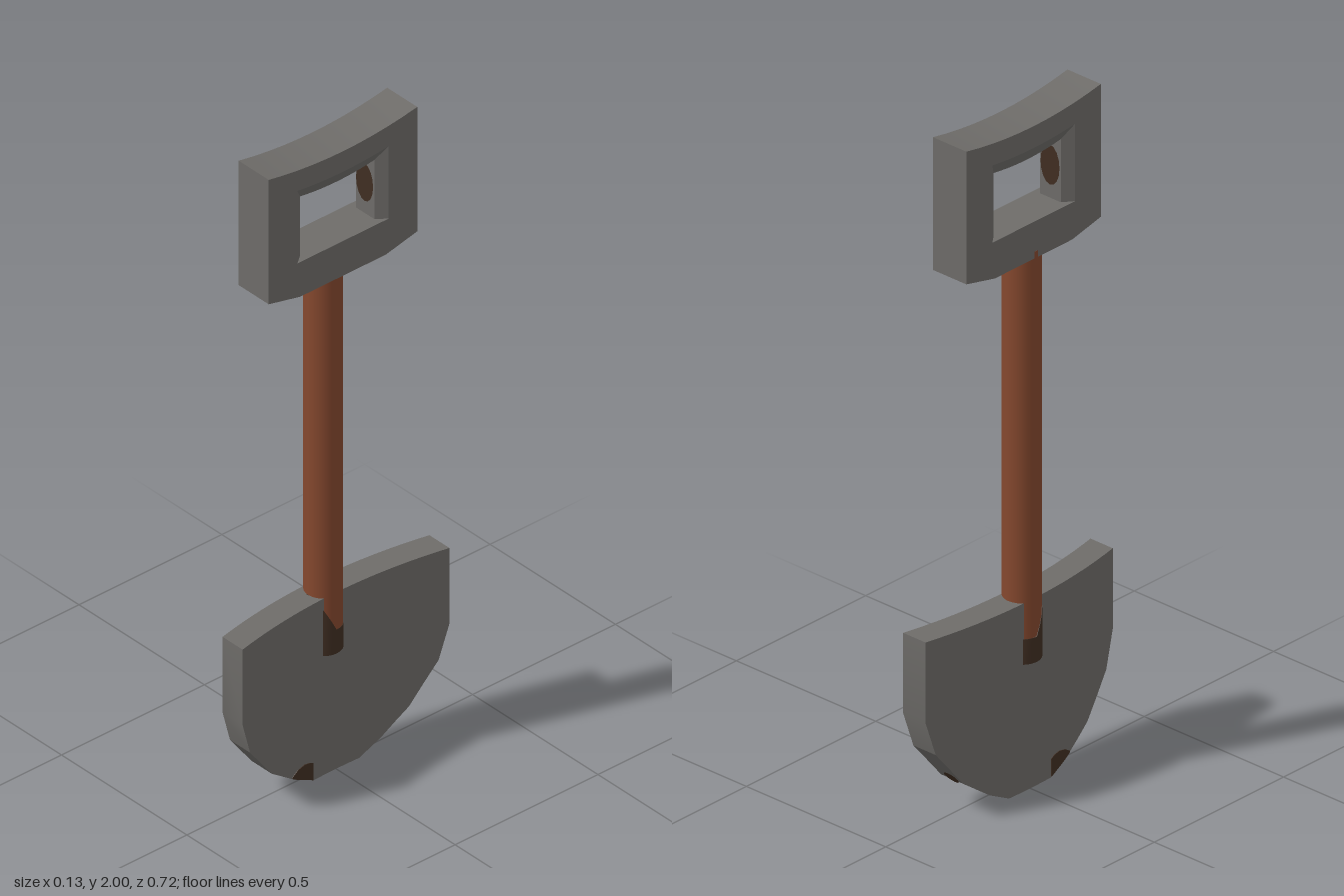
import * as THREE from 'three';
import { toCreasedNormals } from 'three/addons/utils/BufferGeometryUtils.js';

const mat = (name, color) => Object.assign(new THREE.MeshStandardMaterial({ color }), { name });

// Skin a list of equal-length closed loops; either join the last loop to the first or cap the ends
function skin(loops, closed) {
  const n = loops[0].length, m = loops.length, index = [];
  for (let i = 0; i < (closed ? m : m - 1); i++) {
    for (let j = 0; j < n; j++) {
      const i2 = (i + 1) % m, j2 = (j + 1) % n;
      const a = i * n + j, b = i2 * n + j, c = i2 * n + j2, d = i * n + j2;
      index.push(a, b, c, a, c, d);
    }
  }
  if (!closed) {
    const e = (m - 1) * n;
    index.push(0, 1, 2, 0, 2, 3, e, e + 2, e + 1, e, e + 3, e + 2);
  }
  const g = new THREE.BufferGeometry();
  g.setAttribute('position', new THREE.Float32BufferAttribute(loops.flat(2), 3));
  g.setIndex(index);
  return toCreasedNormals(g, 0.3);
}

// Lower outline of the blade: half width and height
const OUTLINE = [[0, 0], [0.08, 0], [0.15, 0.035], [0.24, 0.1], [0.33, 0.215], [0.362, 0.32]];
function bottomAt(z) {
  const w = Math.abs(z);
  for (let k = 1; k < OUTLINE.length; k++) {
    const [w0, y0] = OUTLINE[k - 1], [w1, y1] = OUTLINE[k];
    if (w <= w1 + 1e-6) return y0 + (y1 - y0) * (w - w0) / (w1 - w0);
  }
  return 0.32;
}

// Slice of the dished blade: columns along z, thickened by grow
function bladePiece(columns, topAt, grow, lift) {
  return skin(columns.map(z => {
    const bend = 0.04 * (z / 0.362) ** 2;
    const x0 = -0.055 + bend - grow, x1 = 0.025 + bend + grow;
    const yb = bottomAt(z) + lift, yt = Math.max(topAt(z), yb);
    return [[x0, yt, z], [x1, yt, z], [x1, yb, z], [x0, yb, z]];
  }), false);
}

// Rectangular grip frame with a dished top and a hole that narrows inside
function gripGeometry() {
  const loops = [];
  const add = (oz, oy, hz, hy, nz, ny) => loops.push([
    [-0.067, oy, oz], [0.053, oy, oz],
    [0.053, hy, hz], [0.03, ny, nz],
    [-0.044, ny, nz], [-0.067, hy, hz],
  ]);
  for (let k = 0; k <= 10; k++) {
    const s = k / 5 - 1, dip = s * s;
    add(0.26 * s, 1.975 + 0.025 * dip, 0.16 * s, 1.91 + 0.01 * dip, 0.13 * s, 1.868 + 0.01 * dip);
  }
  for (const [z, y, side] of [[0.26, 1.605, 1], [0.15, 1.58, 1], [-0.15, 1.58, -1], [-0.26, 1.605, -1]]) {
    add(z, y, 0.16 * side, 1.69, 0.13 * side, 1.69);
  }
  return skin(loops, true);
}

export function createModel() {
  const metal = mat('grey metal', 0x6e6c69);
  const wood = mat('red brown wood', 0x85482e);
  const dark = mat('dark brown', 0x402e22);
  const model = new THREE.Group();
  model.name = 'shovel';
  const part = (name, geometry, material) => {
    const mesh = new THREE.Mesh(geometry, material);
    mesh.name = name;
    model.add(mesh);
    return mesh;
  };

  // Blade, curving towards +x at both sides
  const half = [0.04, 0.08, 0.115, 0.15, 0.195, 0.24, 0.285, 0.33, 0.362];
  const columns = [...half.map(z => -z).reverse(), 0, ...half];
  part('blade', bladePiece(columns, () => 0.56, 0, 0), metal);

  // Shaft
  const shaft = part('shaft', new THREE.CylinderGeometry(0.053, 0.053, 1.22, 24), wood);
  shaft.position.set(-0.015, 0.99, 0.01);

  // Dark stained foot of the shaft, with an uneven upper edge
  const footGeo = new THREE.CylinderGeometry(0.0545, 0.0545, 0.08, 24);
  const p = footGeo.attributes.position;
  for (let i = 0; i < p.count; i++) {
    if (p.getY(i) > 0) p.setY(i, 0.035 + Math.max(0, p.getZ(i)) * 2);
  }
  footGeo.computeVertexNormals();
  const foot = part('shaftFoot', footGeo, dark);
  foot.position.set(-0.015, 0.418, 0.01);

  // Grip
  part('grip', gripGeometry(), metal);

  // Dark patches on the inner sides of the grip
  for (const side of [-1, 1]) {
    const spot = part('gripPatch', new THREE.CircleGeometry(1, 16), dark);
    spot.scale.set(0.034, 0.06, 1);
    spot.position.set(-0.007, 1.79, side * 0.128);
    if (side > 0) spot.rotation.y = Math.PI;
  }

  // Dark chip near the tip of the blade, on both faces
  const chipTop = z => 0.066 - 9 * (z - 0.115) ** 2;
  part('bladeChip', bladePiece([0.083, 0.095, 0.115, 0.14, 0.16], chipTop, 0.002, 0.001), dark);

  // Small dark spots on the blade's rim
  for (const [y, z, ny, nz, r] of [[0.046, 0.165, -0.81, 0.585, 0.016], [0.113, -0.25, -0.617, -0.787, 0.024]]) {
    const spot = part('rimSpot', new THREE.CircleGeometry(r, 12), dark);
    const normal = new THREE.Vector3(0, ny, nz).normalize();
    spot.quaternion.setFromUnitVectors(new THREE.Vector3(0, 0, 1), normal);
    spot.position.set(-0.005, y, z).addScaledVector(normal, 0.002);
  }
  return model;
}
